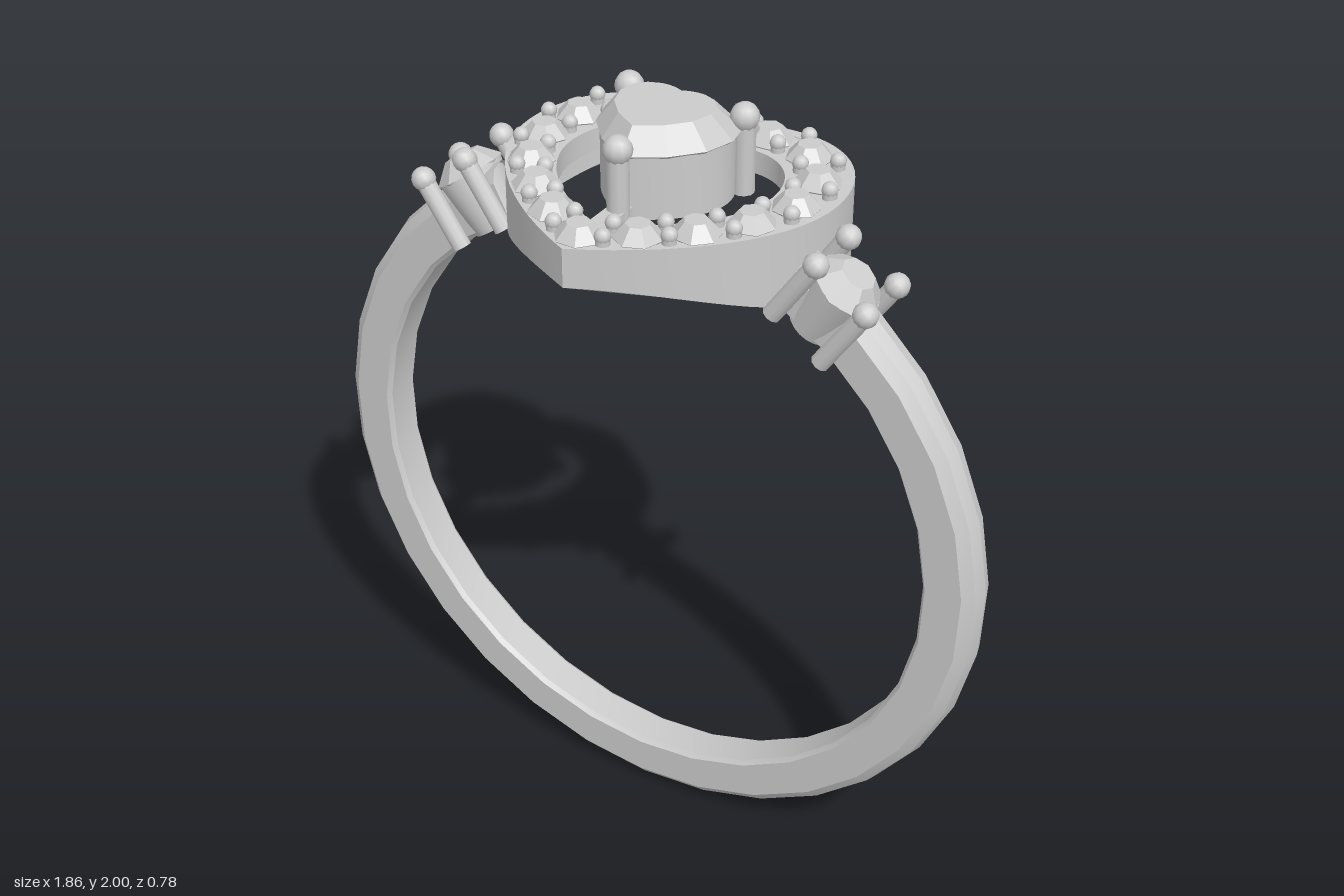
import * as THREE from 'three';
import { toCreasedNormals } from 'three/addons/utils/BufferGeometryUtils.js';

const RING_Y = 0.93, INNER_R = 0.79, BAND_Z = 0.012;
const metal = new THREE.MeshStandardMaterial({ color: 0xcccccc, side: THREE.DoubleSide });
const gem = new THREE.MeshStandardMaterial({ color: 0xcccccc, flatShading: true });

function add(parent, name, geometry, material, x = 0, y = 0, z = 0) {
  const mesh = new THREE.Mesh(geometry, material);
  mesh.name = name;
  mesh.position.set(x, y, z);
  parent.add(mesh);
  return mesh;
}

// Right half of the heart from notch to tip; shape y points to the back
function halfHeart() {
  const p = new THREE.Path();
  p.moveTo(0, 0.355);
  p.bezierCurveTo(0.05, 0.39, 0.14, 0.398, 0.2, 0.392);
  p.bezierCurveTo(0.33, 0.38, 0.425, 0.27, 0.425, 0.11);
  p.bezierCurveTo(0.425, -0.08, 0.24, -0.27, 0, -0.385);
  return p;
}

// Closed heart outline of a given scale
function heartPoints(scale, segments) {
  const half = halfHeart().getPoints(segments);
  const mirrored = half.slice(1, -1).reverse().map(p => new THREE.Vector2(-p.x, p.y));
  return [...half, ...mirrored].map(p => p.multiplyScalar(scale));
}

// Upright heart prism, optionally hollow
function heartPrism(outer, inner, height, segments = 10) {
  const shape = new THREE.Shape(heartPoints(outer, segments));
  if (inner) shape.holes.push(new THREE.Path(heartPoints(inner, segments)));
  return new THREE.ExtrudeGeometry(shape, { depth: height, bevelEnabled: false }).rotateX(-Math.PI / 2);
}

function editVertices(geometry, rule) {
  const pos = geometry.attributes.position;
  const v = new THREE.Vector3();
  for (let i = 0; i < pos.count; i++) {
    rule(v.fromBufferAttribute(pos, i));
    pos.setXYZ(i, v.x, v.y, v.z);
  }
  geometry.computeVertexNormals();
  return geometry;
}

// Round-headed claw standing between two heights
function addProng(parent, name, x, z, y0, y1, r, headR) {
  const prong = new THREE.Group();
  prong.name = name;
  prong.position.set(x, 0, z);
  add(prong, 'shaft', new THREE.CylinderGeometry(r, r, y1 - y0, 10), metal, 0, (y0 + y1) / 2);
  add(prong, 'head', new THREE.SphereGeometry(headR, 10, 8), metal, 0, y1);
  parent.add(prong);
}

// Faceted round stone: crown, girdle and pointed underside
function roundStone(r, crown, depth, sides) {
  const profile = [[0, -depth], [r, 0], [r * 0.5, crown], [0, crown]].map(p => new THREE.Vector2(...p));
  return new THREE.LatheGeometry(profile, sides);
}

function buildBand(model) {
  const half = [[0.79, 0.045], [0.8, 0.057], [0.895, 0.057], [0.922, 0.035], [0.932, 0]];
  const profile = [...half.map(([r, z]) => [r, -z]), ...half.slice(0, -1).reverse(), [0.79, -0.045]];
  const sweep = Math.PI - 0.48;
  const band = new THREE.LatheGeometry(profile.map(p => new THREE.Vector2(...p)), 26, -sweep, 2 * sweep);
  band.rotateX(Math.PI / 2);
  add(model, 'band', toCreasedNormals(band, 0.5), metal, 0, RING_Y, BAND_Z);
}

function buildSideSetting(model, side) {
  const setting = new THREE.Group();
  setting.name = side > 0 ? 'leftSideSetting' : 'rightSideSetting';
  setting.position.set(0, RING_Y, BAND_Z);
  setting.rotation.z = -side * 0.595;
  const cup = [[0.045, 0.785], [0.065, 0.785], [0.085, 0.935], [0.07, 0.935], [0.045, 0.785]];
  const cupGeo = new THREE.LatheGeometry(cup.map(p => new THREE.Vector2(...p)), 20);
  add(setting, 'cup', toCreasedNormals(cupGeo, 0.6), metal);
  add(setting, 'sideStone', roundStone(0.09, 0.045, 0.09, 8), gem, 0, 0.935);
  for (const x of [-0.078, 0.078])
    for (const z of [-0.077, 0.077]) addProng(setting, 'sideProng', x, z, 0.78, 0.972, 0.024, 0.031);
  model.add(setting);
}

function buildHalo(model) {
  const halo = new THREE.Group();
  halo.name = 'heartHalo';

  // Outer wall, its lower edge cut to the finger opening
  const top = 1.82;
  const wall = editVertices(heartPrism(1, 0.93, 1, 14), v => {
    v.y = v.y > 0.5 ? top : RING_Y + Math.sqrt(INNER_R ** 2 - v.x ** 2);
  });
  add(halo, 'wall', toCreasedNormals(wall, 0.6), metal);
  add(halo, 'plate', toCreasedNormals(heartPrism(0.97, 0.65, 0.06, 14), 0.6), metal, 0, 1.758);

  // Stones along the middle of the plate, with bead prongs between them
  const steps = 8;
  const spots = halfHeart().getSpacedPoints(steps * 2);
  spots.forEach((p, i) => {
    const onAxis = i === 0 || i === steps * 2;
    for (const s of onAxis ? [1] : [1, -1]) {
      if (i % 2 === 0) {
        const stone = add(halo, 'haloStone', roundStone(0.06, 0.034, 0.085, 7), gem,
          s * p.x * 0.82, 1.822, -p.y * 0.82);
        stone.rotation.y = s * i * 0.7;
      } else {
        for (const k of [0.92, 0.73])
          addProng(halo, 'beadProng', s * p.x * k, -p.y * k, 1.8, 1.84, 0.018, 0.02);
      }
    }
  });
  model.add(halo);
}

function buildCentre(model) {
  const centre = new THREE.Group();
  centre.name = 'centreSetting';
  centre.position.z = -0.018;
  add(centre, 'basket', toCreasedNormals(heartPrism(0.385, 0.29, 0.16), 0.6), metal, 0, 1.775);

  // Heart stone: tapered crown over a pavilion narrowing downward
  const crown = editVertices(heartPrism(0.41, 0, 0.06, 3), v => {
    if (v.y > 0.01) { v.x *= 0.7; v.z *= 0.7; }
  });
  const pavilion = editVertices(heartPrism(0.41, 0, 0.12, 3), v => {
    if (v.y < 0.01) { v.x *= 0.15; v.z *= 0.15; }
  });
  add(centre, 'stoneCrown', crown, gem, 0, 1.938);
  add(centre, 'stonePavilion', pavilion, gem, 0, 1.818);

  for (const [x, z] of [[-0.158, -0.125], [0.158, -0.125], [0, 0.172]])
    addProng(centre, 'centreProng', x, z, 1.77, 1.963, 0.028, 0.036);

  // Bridges joining the basket to the halo
  for (const z of [-0.185, 0.21])
    add(centre, 'bridge', new THREE.BoxGeometry(0.05, 0.05, 0.12), metal, 0, 1.79, z);
  model.add(centre);
}

export function createModel() {
  const model = new THREE.Group();
  model.name = 'heartRing';
  buildBand(model);
  for (const side of [1, -1]) buildSideSetting(model, side);
  buildHalo(model);
  buildCentre(model);
  return model;
}
